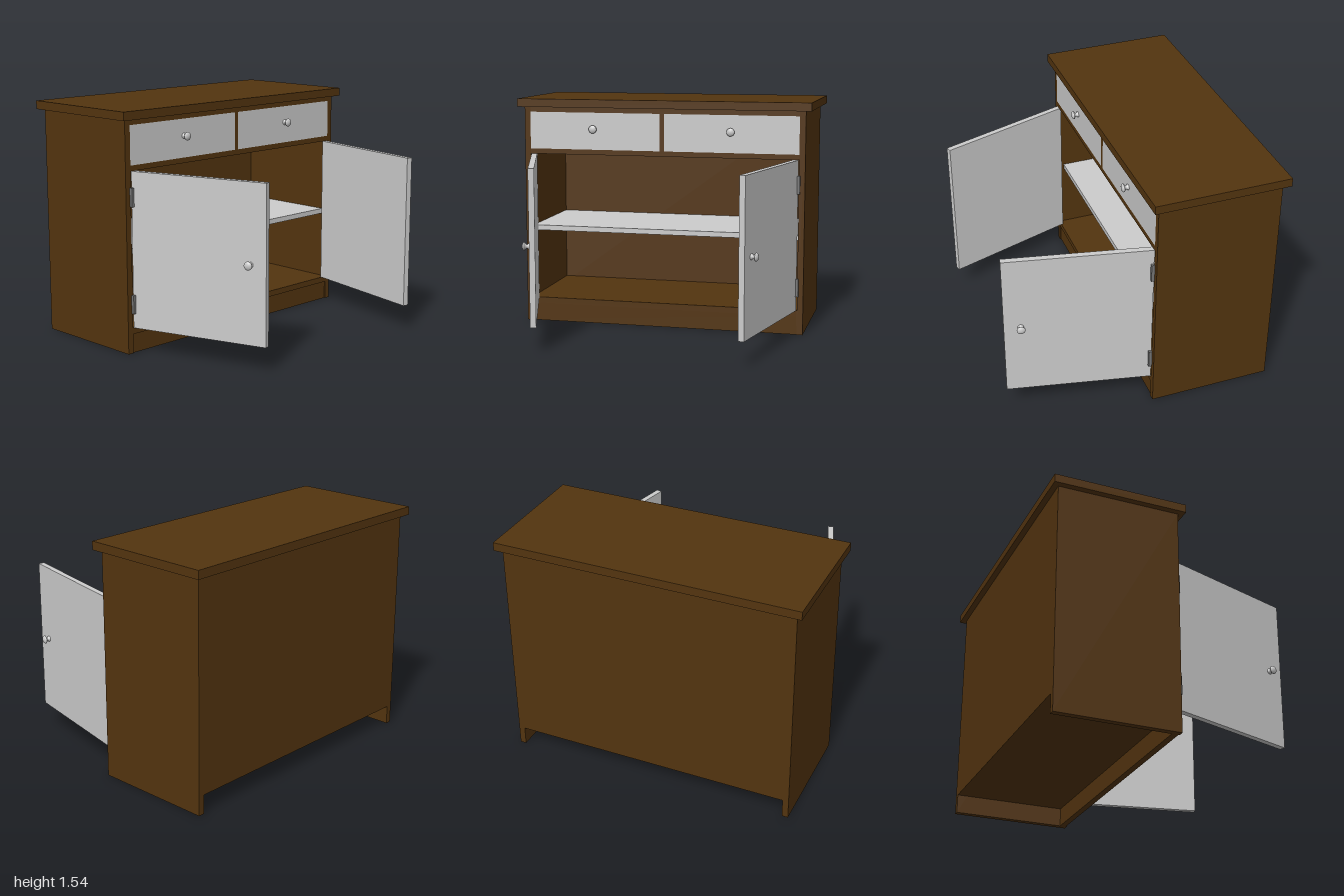
import * as THREE from 'three';

const material = (name, color) => {
  const m = new THREE.MeshStandardMaterial({ color });
  m.name = name;
  return m;
};

export function createModel() {
  const brown = material('darkBrownWood', 0x53340f);
  const grey = material('lightGreyPaint', 0xcccccc);
  const steel = material('hingeSteel', 0x777777);
  const root = new THREE.Group();
  root.name = 'cupboard';

  // Box given by its limits on each axis
  const box = (name, mat, [x0, x1], [y0, y1], [z0, z1], parent = root) => {
    const mesh = new THREE.Mesh(new THREE.BoxGeometry(x1 - x0, y1 - y0, z1 - z0), mat);
    mesh.position.set((x0 + x1) / 2, (y0 + y1) / 2, (z0 + z1) / 2);
    mesh.name = name;
    parent.add(mesh);
    return mesh;
  };

  const front = -0.035, back = -0.835, inner = 0.92, outer = 0.96;
  const backInside = back + 0.04;

  // Carcass
  box('worktop', brown, [-1, 1], [1.485, 1.54], [-0.873, 0.004]);
  box('leftSide', brown, [inner, outer], [0, 1.485], [back, front]);
  box('rightSide', brown, [-outer, -inner], [0, 1.485], [back, front]);
  box('backPanel', brown, [-inner, inner], [0.125, 1.485], [back, backInside]);
  box('bottomBoard', brown, [-inner, inner], [0.125, 0.165], [backInside, front]);
  box('plinth', brown, [-inner, inner], [0, 0.125], [front - 0.05, front - 0.008]);
  box('drawerBoard', brown, [-inner, inner], [1.165, 1.2], [backInside, front]);
  box('topRail', brown, [-inner, inner], [1.45, 1.485], [backInside, front]);
  box('drawerDivider', brown, [-0.015, 0.015], [1.2, 1.45], [backInside, front]);
  box('shelf', grey, [-inner, inner], [0.63, 0.665], [backInside, -0.075]);

  // Turned knob, its axis along +z
  const profile = [[0.019, 0], [0.019, 0.004], [0.013, 0.012], [0.012, 0.018], [0.02, 0.025],
    [0.027, 0.03], [0.027, 0.034], [0.021, 0.041], [0.01, 0.045], [0, 0.046]];
  const knobGeometry = new THREE.LatheGeometry(profile.map(([r, h]) => new THREE.Vector2(r, h)), 24);
  knobGeometry.rotateX(Math.PI / 2);
  const knob = (name, x, y, z, parent) => {
    const mesh = new THREE.Mesh(knobGeometry, grey);
    mesh.position.set(x, y, z);
    mesh.name = name;
    parent.add(mesh);
  };

  const doorWidth = 0.922, doorThickness = 0.038;
  for (const [side, s, openAngle] of [['left', 1, 12], ['right', -1, 18]]) {
    // Drawer front with its knob
    const near = s * 0.015, far = s * inner;
    box(side + 'Drawer', grey, [Math.min(near, far), Math.max(near, far)], [1.2, 1.45], [front - 0.04, front]);
    knob(side + 'DrawerKnob', s * 0.47, 1.34, front, root);

    // Door, built closed and swung open about its outer front edge
    const door = new THREE.Group();
    door.name = side + 'Door';
    const edge = -s * doorWidth;
    box(side + 'DoorPanel', grey, [Math.min(0, edge), Math.max(0, edge)], [0.165, 1.165], [-doorThickness, 0], door);
    knob(side + 'DoorKnob', -s * 0.817, 0.665, 0, door);
    door.position.set(s * 0.915, 0, front);
    door.rotation.y = s * THREE.MathUtils.degToRad(90 - openAngle);
    root.add(door);

    // Hinges
    for (const y of [0.32, 1.003]) {
      const cx = s * 0.92;
      box(side + 'Hinge', steel, [cx - 0.009, cx + 0.009], [y - 0.06, y + 0.06], [front - 0.004, front + 0.02]);
    }
  }
  return root;
}
